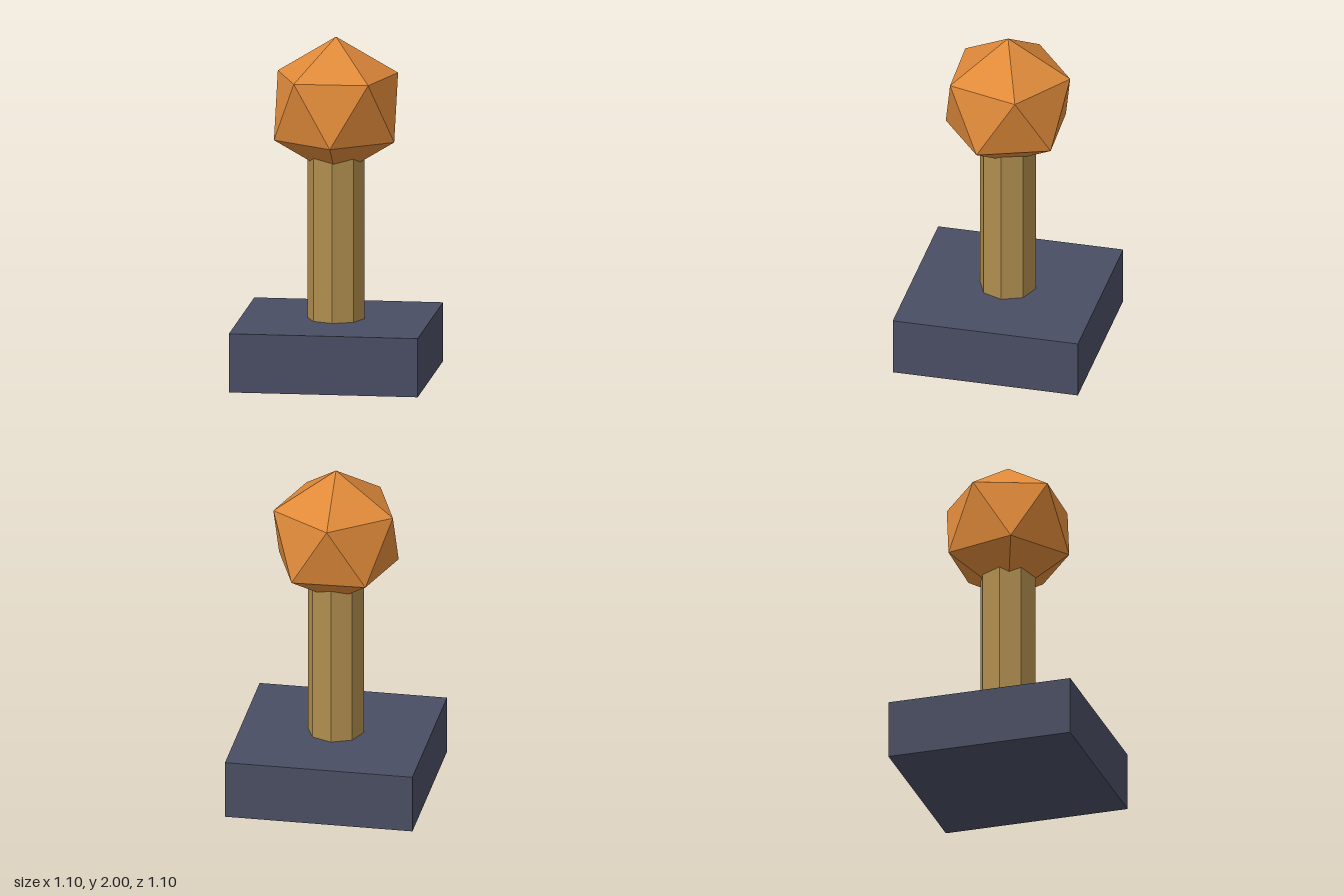
import * as THREE from 'three';

export function createModel() {
  const model = new THREE.Group();
  const material = (name, color) => {
    const m = new THREE.MeshStandardMaterial({ color, flatShading: true });
    m.name = name;
    return m;
  };
  const add = (name, geometry, mat, y) => {
    const mesh = new THREE.Mesh(geometry, mat);
    mesh.name = name;
    mesh.position.y = y;
    model.add(mesh);
  };

  // Square plinth
  const baseHeight = 0.345;
  add('base', new THREE.BoxGeometry(1.1, baseHeight, 1.1), material('slate', 0x4a4e63), baseHeight / 2);

  // Octagonal post, its top buried in the knob
  const postTop = 1.38;
  add('post', new THREE.CylinderGeometry(0.165, 0.165, postTop - baseHeight, 8),
    material('tan', 0xb08d4f), (postTop + baseHeight) / 2);

  // Twenty-sided knob, turned to stand on a corner
  const knob = new THREE.IcosahedronGeometry(0.41, 0);
  knob.rotateX(-Math.atan((1 + Math.sqrt(5)) / 2));
  knob.rotateY(THREE.MathUtils.degToRad(182));
  add('knob', knob, material('orange', 0xe08a3a), 1.59);

  return model;
}
